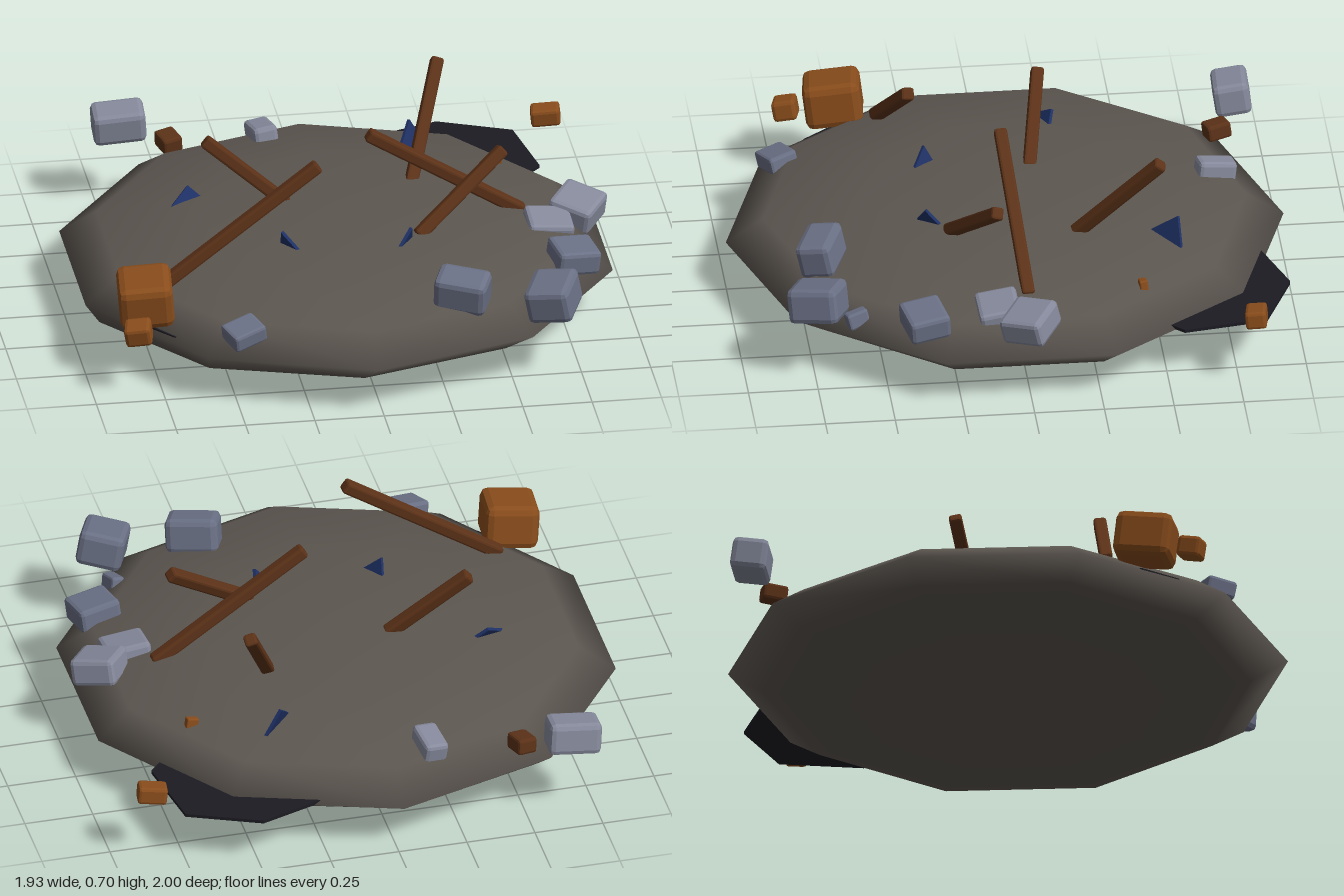
import * as THREE from 'three';
import { RoundedBoxGeometry } from 'three/addons/geometries/RoundedBoxGeometry.js';

const paint = (color, extra = {}) => {
  const m = new THREE.MeshStandardMaterial({ ...extra });
  m.color.set(color);
  return m;
};
const flat = { flatShading: true };
const earth = paint(0x5c5650);
const scorch = paint(0x1c1b22, flat);
const stone = paint(0x6b7186, flat);
const paleStone = paint(0x868a9c, flat);
const rust = paint(0x8a4d1c, flat);
const wood = paint(0x5c3218, flat);
const glass = paint(0x1f3166, { flatShading: true, side: THREE.DoubleSide });

export function createModel() {
  const group = new THREE.Group();
  const add = (name, geometry, material, x = 0, y = 0, z = 0) => {
    const mesh = new THREE.Mesh(geometry, material);
    mesh.name = name;
    mesh.position.set(x, y, z);
    group.add(mesh);
    return mesh;
  };

  // Mound: a flattened ten-sided ball, its underside slightly lopsided
  const ball = new THREE.SphereGeometry(1, 10, 6);
  ball.rotateY(Math.PI / 2);
  const p = ball.attributes.position;
  for (let i = 0; i < p.count; i++) {
    if (p.getY(i) < -0.01 && p.getY(i) > -0.99) p.setX(i, p.getX(i) * 1.05 - 0.03);
  }
  add('mound', ball, earth, -0.02, 0.18, 0).scale.y = 0.18;

  // Scorch patches lying level with the rim
  const patch = (name, points, y) => {
    const shape = new THREE.Shape(points.map(([x, z]) => new THREE.Vector2(x, -z)));
    const g = new THREE.ExtrudeGeometry(shape, { depth: 0.012, bevelEnabled: false });
    g.rotateX(-Math.PI / 2);
    add(name, g, scorch, 0, y, 0);
  };
  patch('scorchBack', [[0.2, -0.87], [0.49, -0.97], [0.75, -0.86], [0.8, -0.56],
    [0.65, -0.4], [0.32, -0.4], [0.16, -0.62]], 0.181);
  patch('scorchFront', [[-0.8, 0.52], [-0.7, 0.65], [-0.45, 0.6], [-0.4, 0.35], [-0.65, 0.25]], 0.185);

  // Broken beams, from buried foot to raised tip
  const beams = [
    [[-0.72, 0.27, 0.39], [-0.135, 0.685, 0.335]],
    [[0.655, 0.285, -0.015], [0.09, 0.645, 0.028]],
    [[0.28, 0.31, -0.21], [0.425, 0.665, -0.515]],
    [[0.24, 0.33, 0.23], [0.57, 0.58, 0.085]],
    [[-0.18, 0.33, -0.105], [-0.47, 0.57, -0.165]],
  ];
  for (const [a, b] of beams) {
    const from = new THREE.Vector3(...a), to = new THREE.Vector3(...b);
    const dir = to.clone().sub(from);
    const beam = add('beam', new RoundedBoxGeometry(0.046, dir.length(), 0.046, 1, 0.009), wood);
    beam.position.copy(from).add(to).multiplyScalar(0.5);
    beam.quaternion.setFromUnitVectors(new THREE.Vector3(0, 1, 0), dir.normalize());
  }

  // Chamfered rubble: position, size, rotation
  const block = (name, material, pos, size, rot) => {
    const g = new RoundedBoxGeometry(...size, 1, Math.min(...size) * 0.17);
    add(name, g, material, ...pos).rotation.set(...rot, 'YXZ');
  };
  const rubble = [
    [paleStone, [-0.67, 0.32, -0.88], [0.19, 0.12, 0.13], [0.15, -0.04, 0.08]],
    [paleStone, [-0.17, 0.285, -0.77], [0.09, 0.09, 0.14], [-0.15, 0.15, 0.1]],
    [paleStone, [0.85, 0.29, 0], [0.165, 0.1, 0.165], [0.15, -0.6, -0.2]],
    [paleStone, [0.73, 0.27, 0.1], [0.165, 0.09, 0.15], [0.15, 0.02, -0.1]],
    [stone, [0.78, 0.28, 0.37], [0.16, 0.09, 0.15], [0.1, 0.2, -0.1]],
    [stone, [0.65, 0.305, 0.74], [0.165, 0.13, 0.185], [0.15, -0.4, 0.15]],
    [stone, [0.33, 0.33, 0.695], [0.19, 0.13, 0.13], [0.2, -0.4, -0.08]],
    [stone, [-0.47, 0.255, 0.77], [0.13, 0.065, 0.11], [0.15, 0.4, 0.2]],
    [stone, [0.65, 0.225, 0.6], [0.05, 0.06, 0.08], [0.2, 0.3, 0.2]],
  ];
  for (const [mat, pos, size, rot] of rubble) block('stoneBlock', mat, pos, size, rot);
  const crates = [
    [rust, [-0.79, 0.31, 0.535], [0.195, 0.165, 0.205], [0.13, -0.1, 0.08]],
    [rust, [-0.84, 0.25, 0.7], [0.095, 0.075, 0.085], [0.2, -0.2, 0.15]],
    [wood, [-0.5, 0.265, -0.81], [0.075, 0.06, 0.09], [0.1, 0.3, 0.1]],
    [rust, [0.86, 0.27, -0.81], [0.105, 0.065, 0.075], [0.1, -0.15, 0.1]],
    [rust, [0.62, 0.28, -0.43], [0.045, 0.05, 0.03], [0.1, 0.1, 0.2]],
  ];
  for (const [mat, pos, size, rot] of crates) block('rustyChunk', mat, pos, size, rot);

  // Glass shards: position, width, height, apex offset, turn, lean
  const shards = [
    [[0.325, 0.3, -0.53], 0.18, 0.1, 0.045, 0.8, -0.35],
    [[-0.53, 0.31, -0.18], 0.17, 0.07, 0.02, 0.3, -0.6],
    [[-0.215, 0.32, 0.275], 0.13, 0.085, -0.03, -0.95, 0.35],
    [[0.18, 0.32, 0.29], 0.14, 0.085, 0, 0.98, 0.35],
  ];
  for (const [pos, w, h, apex, turn, lean] of shards) {
    const tri = new THREE.Shape([[-w / 2, -0.01], [w / 2, -0.01], [apex, h]]
      .map(([x, y]) => new THREE.Vector2(x, y)));
    const g = new THREE.ExtrudeGeometry(tri, { depth: 0.012, bevelEnabled: false });
    g.translate(0, 0, -0.006);
    add('glassShard', g, glass, ...pos).rotation.set(lean, turn, 0, 'YXZ');
  }
  return group;
}
